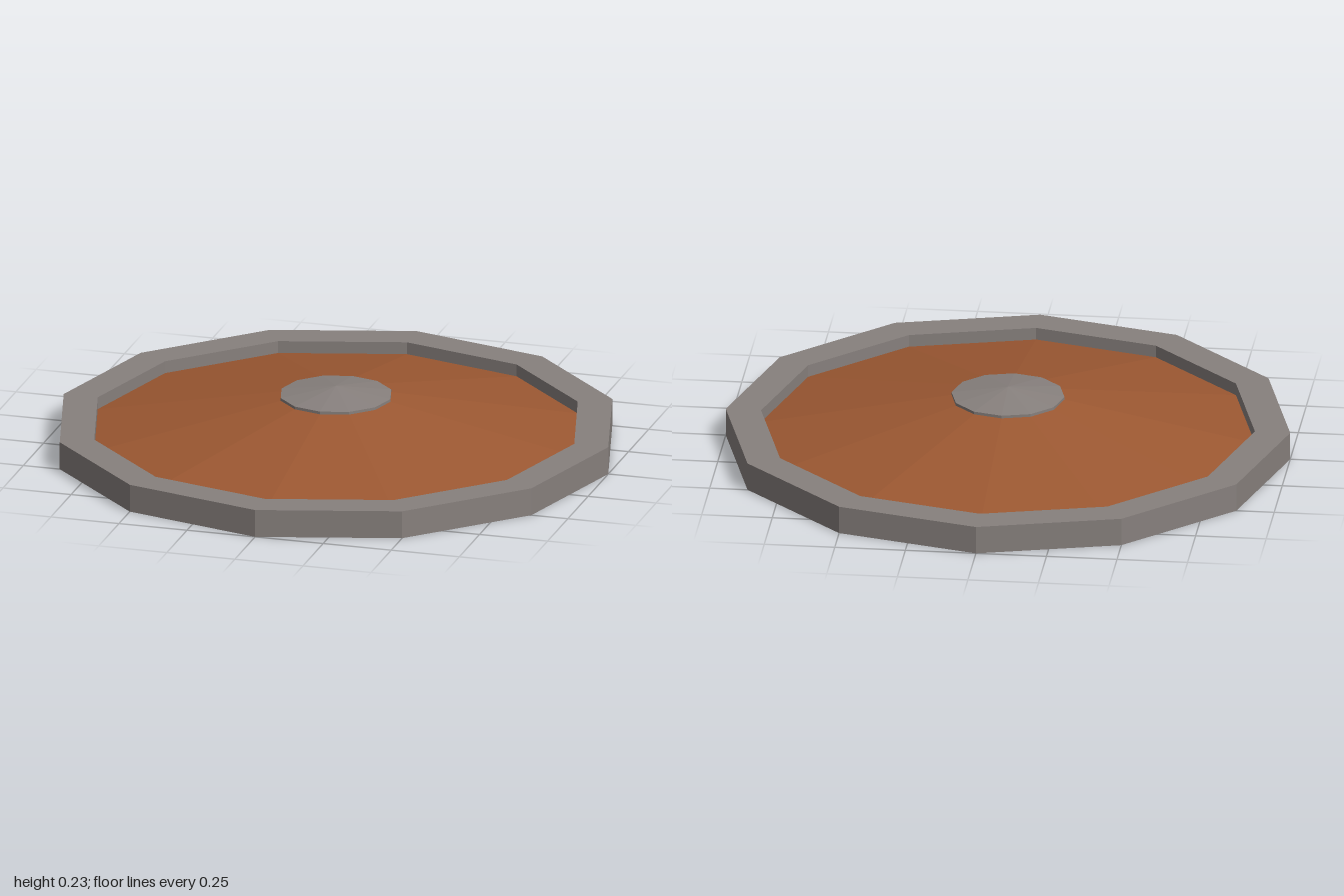
import * as THREE from 'three';

const SIDES = 12;

// Twelve-sided turned part from [radius, height] points, listed from the outside bottom upwards
function turned(name, profile, color) {
  const points = profile.map(([r, y]) => new THREE.Vector2(r, y));
  const material = new THREE.MeshStandardMaterial({ color, flatShading: true });
  const mesh = new THREE.Mesh(new THREE.LatheGeometry(points, SIDES), material);
  mesh.name = name;
  return mesh;
}

export function createModel() {
  const group = new THREE.Group();
  group.name = 'roundShield';
  const metal = 0x87807d;
  const wood = 0x9c5832;

  // Flat back, outer wall, raised rim and its inner wall
  group.add(turned('rim', [[0, 0], [1, 0], [1, 0.1], [0.875, 0.1], [0.875, 0.056]], metal));

  // Shallow cone inside the rim
  group.add(turned('face', [[0.875, 0.056], [0.19, 0.192]], wood));

  // Pointed centre cap with a thin edge
  group.add(turned('boss', [[0.19, 0.19], [0.2, 0.19], [0.2, 0.2], [0, 0.23]], metal));

  return group;
}
